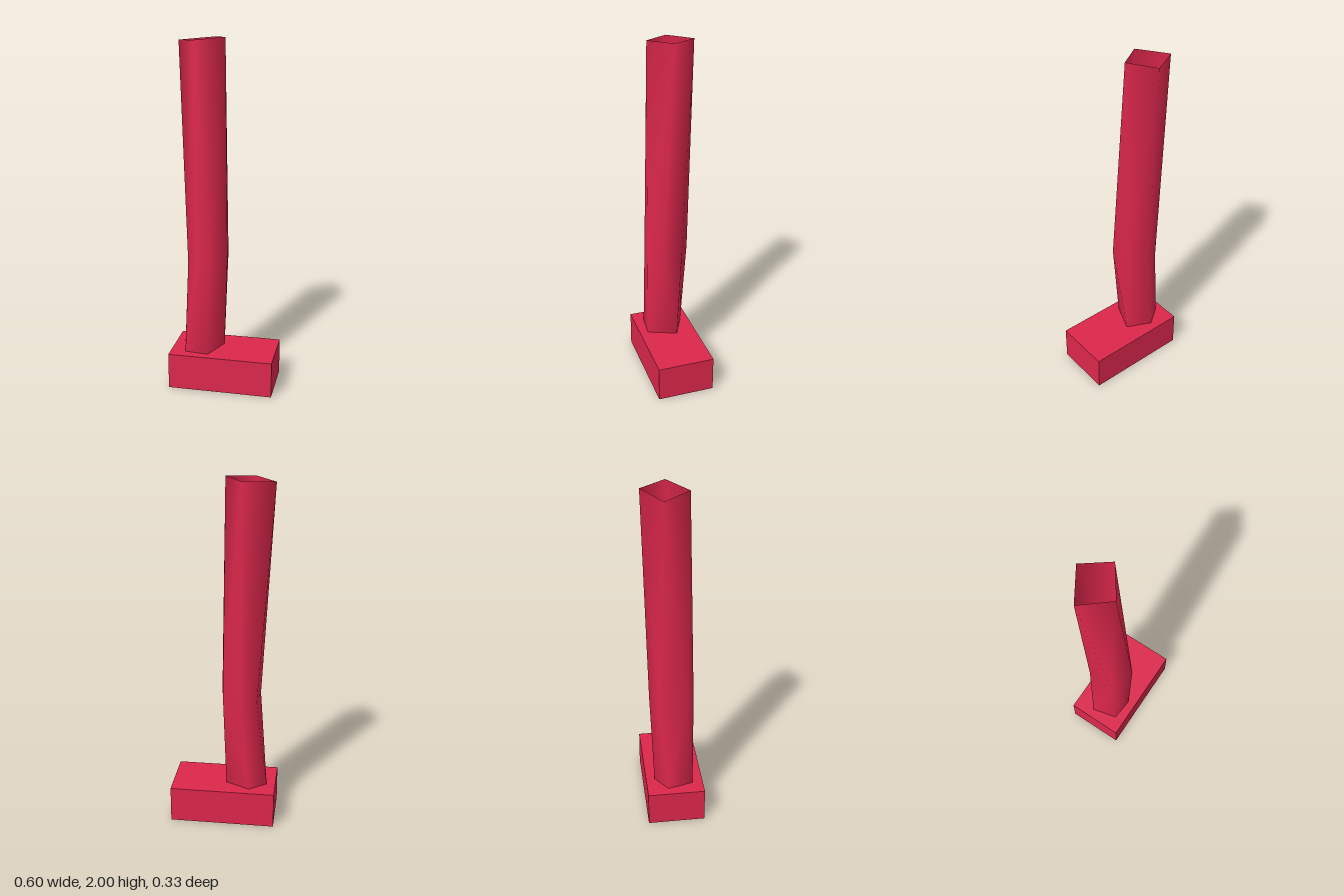
import * as THREE from 'three';

const red = new THREE.MeshStandardMaterial({ color: 0xdc274b, side: THREE.DoubleSide });
red.name = 'crimson red';

// Each ring lists [x, z] corners, anticlockwise seen from above; its height tilts with x.
const rings = [
  { y: x => 0.205, pts: [[-0.215, 0.105], [-0.08, 0.117], [-0.013, -0.047], [-0.153, -0.115], [-0.252, -0.042]] },
  {
    y: x => 0.776 + 0.13 * x,
    pts: [[-0.2, 0.07], [-0.135, 0.115], [-0.055, 0.12], [0.022, 0.043], [0.005, -0.07], [-0.1, -0.135], [-0.19, -0.09]],
  },
  { y: x => 2 + 0.075 * x, pts: [[-0.155, 0.08], [-0.004, -0.028], [-0.105, -0.168], [-0.273, -0.065]] },
];

// Sorts a ring's corners by angle about its centre
function prepare({ y, pts }) {
  const cx = pts.reduce((s, p) => s + p[0], 0) / pts.length;
  const cz = pts.reduce((s, p) => s + p[1], 0) / pts.length;
  return pts
    .map(([x, z]) => ({ pos: [x, y(x), z], a: Math.atan2(-(z - cz), x - cx) }))
    .sort((p, q) => p.a - q.a);
}

// Open tube joining rings with different numbers of corners
function loft(rings) {
  const positions = [], index = [], loops = [];
  for (const ring of rings.map(prepare)) {
    const start = positions.length / 3;
    ring.forEach(p => positions.push(...p.pos));
    loops.push({ n: ring.length, id: i => start + (i % ring.length),
      angle: i => ring[i % ring.length].a + 2 * Math.PI * Math.floor(i / ring.length) });
  }
  for (let k = 0; k + 1 < loops.length; k++) {
    const lo = loops[k], hi = loops[k + 1];
    let i = 0, j = 0;
    // advance along whichever ring has its next edge earlier
    while (i < lo.n || j < hi.n) {
      const midLo = lo.angle(i) + lo.angle(i + 1), midHi = hi.angle(j) + hi.angle(j + 1);
      if (j >= hi.n || (i < lo.n && midLo <= midHi)) {
        index.push(lo.id(i), lo.id(i + 1), hi.id(j));
        i++;
      } else {
        index.push(lo.id(i), hi.id(j + 1), hi.id(j));
        j++;
      }
    }
  }
  const geo = new THREE.BufferGeometry();
  geo.setAttribute('position', new THREE.Float32BufferAttribute(positions, 3));
  geo.setIndex(index);
  geo.computeVertexNormals();
  return geo;
}

export function createModel() {
  const group = new THREE.Group();
  group.name = 'bentPipeOnBlock';

  // Rectangular foot
  const base = new THREE.Mesh(new THREE.BoxGeometry(0.604, 0.21, 0.332), red);
  base.position.y = 0.105;
  base.name = 'base';

  // Bent hollow shaft, open at the top
  const shaft = new THREE.Mesh(loft(rings), red);
  shaft.name = 'shaft';

  group.add(base, shaft);
  return group;
}
